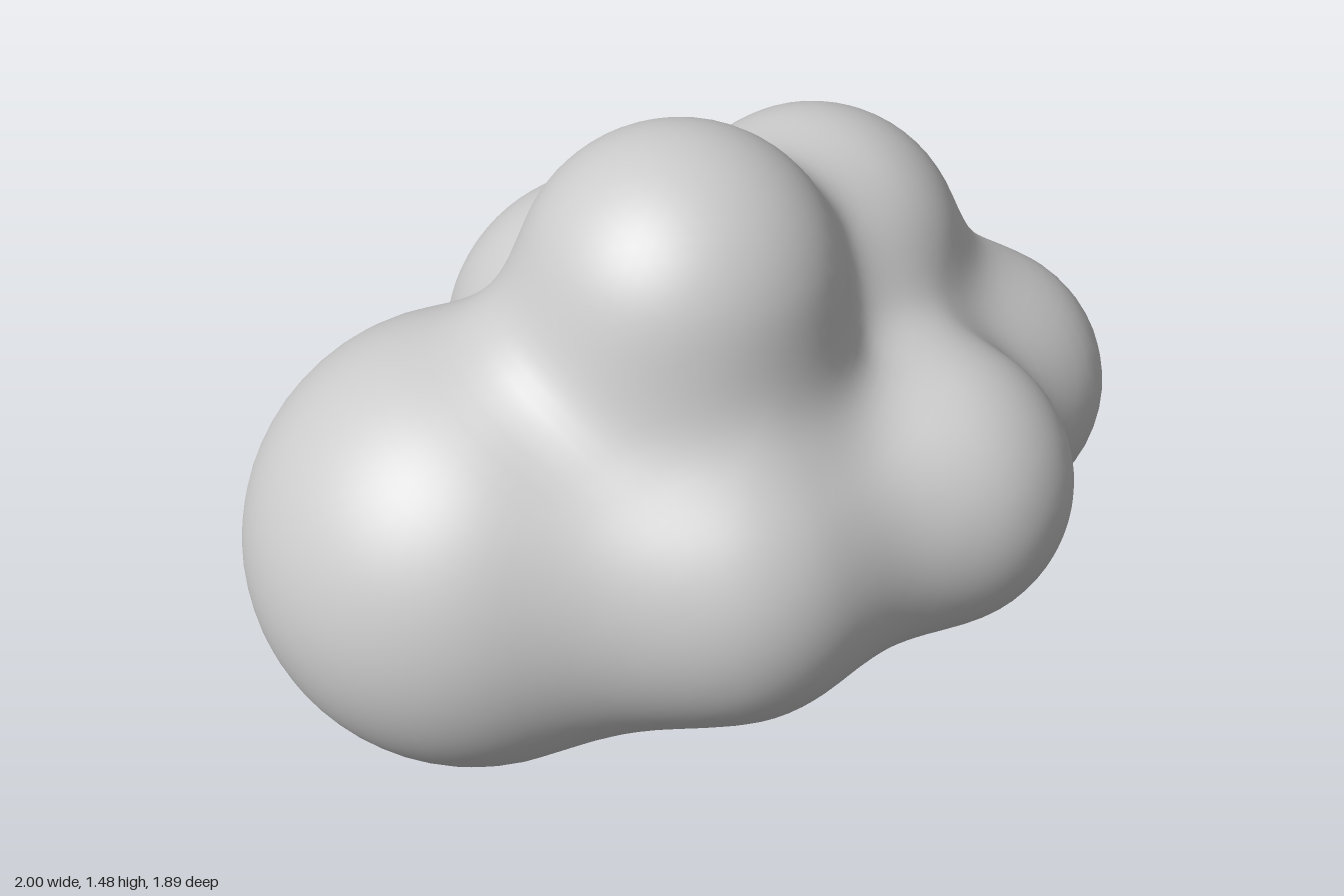
import * as THREE from 'three';
import { mergeVertices } from 'three/addons/utils/BufferGeometryUtils.js';

// Puffs of the cloud: centre x, y, z and radius
const PUFFS = [
  [-0.50, 0.58, 0.42, 0.50], // big right-hand puff
  [0.02, 0.62, 0.57, 0.37],  // front
  [0.48, 0.63, 0.38, 0.325], // front left
  [-0.05, 1.13, 0.32, 0.35], // crown
  [0.29, 0.90, -0.14, 0.345], // shoulder behind the crown
  [0.27, 0.51, -0.60, 0.35], // back
  [0.67, 0.50, -0.17, 0.33], // left
  [-0.15, 0.60, -0.26, 0.41], // back right
  [0.12, 0.34, -0.04, 0.34], // underside
];
const BLEND = 0.22;
const CENTRE = new THREE.Vector3(0.05, 0.62, 0.1);

// Distance to the puffs, with the creases between them filled by soft fillets
function distance(p) {
  let result = Infinity;
  for (const [x, y, z, r] of PUFFS) {
    const d = Math.hypot(p.x - x, p.y - y, p.z - z) - r;
    const h = Math.max(BLEND - Math.abs(d - result), 0) / BLEND;
    result = Math.min(d, result) - (h * h * BLEND) / 4;
  }
  return result;
}

// Walk outward from the centre until the surface is reached
function surfacePoint(direction) {
  const p = new THREE.Vector3();
  let t = 0.1;
  for (let i = 0; i < 80; i++) {
    p.copy(CENTRE).addScaledVector(direction, t);
    const d = distance(p);
    if (Math.abs(d) < 0.0005) break;
    t -= d * 0.9;
  }
  return p;
}

export function createModel() {
  const group = new THREE.Group();
  group.name = 'cloud';

  // A sphere pushed out onto the blended surface
  let geometry = new THREE.IcosahedronGeometry(1, 26);
  geometry.deleteAttribute('normal');
  geometry.deleteAttribute('uv');
  geometry = mergeVertices(geometry, 1e-5);
  const position = geometry.attributes.position;
  const direction = new THREE.Vector3();
  for (let i = 0; i < position.count; i++) {
    direction.fromBufferAttribute(position, i).normalize();
    const p = surfacePoint(direction);
    position.setXYZ(i, p.x, p.y, p.z);
  }

  // Centre the cloud and stand it on the floor
  geometry.computeBoundingBox();
  const box = geometry.boundingBox;
  const middle = box.getCenter(new THREE.Vector3());
  geometry.translate(-middle.x, -box.min.y, -middle.z);
  geometry.computeVertexNormals();

  const body = new THREE.Mesh(geometry, new THREE.MeshStandardMaterial({ color: 0xcccccc }));
  body.name = 'cloudBody';
  group.add(body);
  return group;
}
